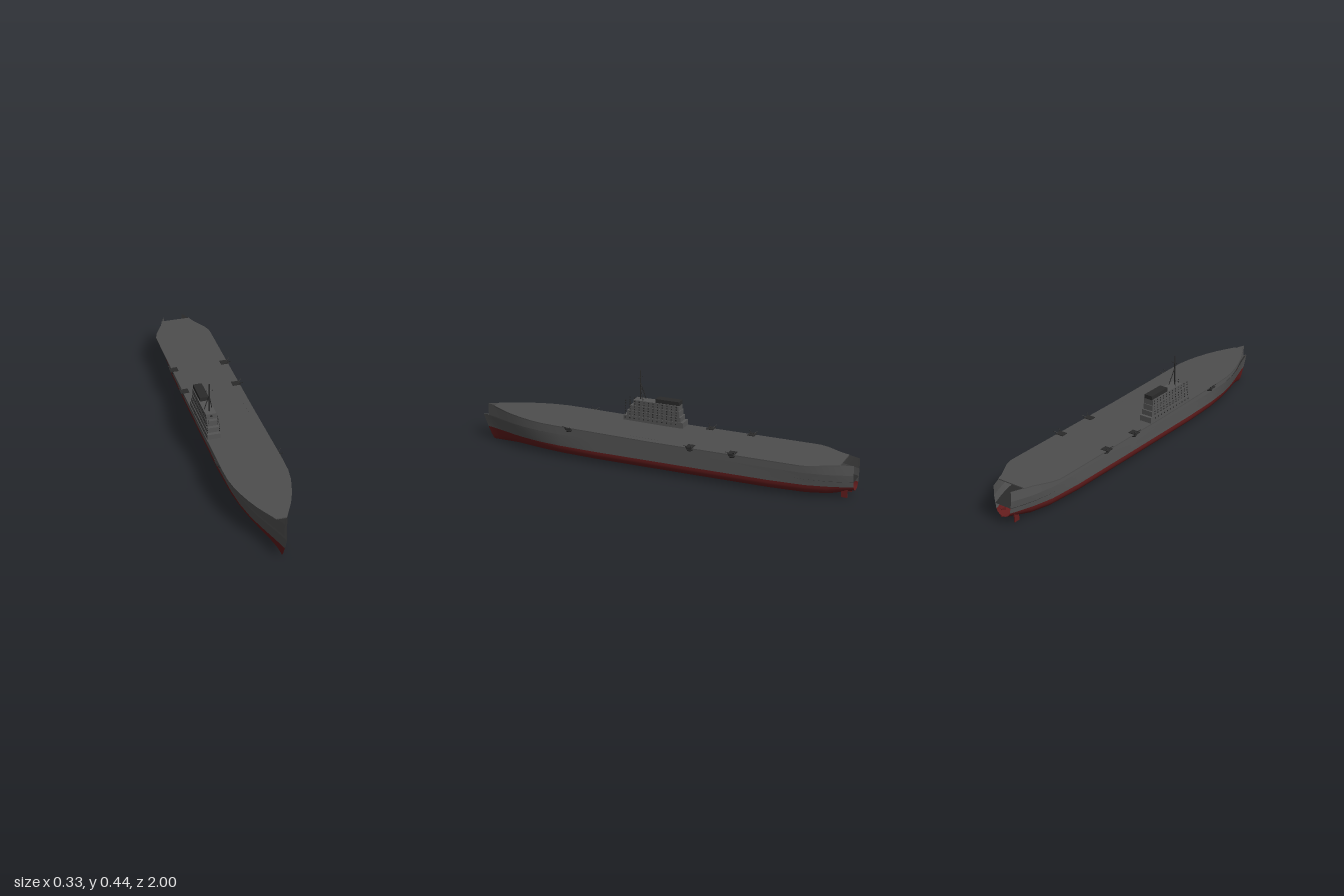
import * as THREE from 'three';
import { toCreasedNormals } from 'three/addons/utils/BufferGeometryUtils.js';

const paint = (name, color) => {
  const m = new THREE.MeshStandardMaterial({ color, side: THREE.DoubleSide });
  m.name = name;
  return m;
};

// Stations along the ship (-1 stern, 1 bow) with half-widths at the top and near the keel
const STATIONS = [-1, -0.94, -0.88, -0.78, -0.6, -0.2, 0.3, 0.5, 0.62, 0.72, 0.8, 0.88, 0.94, 1];
const TOP = [0.05, 0.074, 0.092, 0.11, 0.114, 0.114, 0.114, 0.113, 0.108, 0.092, 0.07, 0.042, 0.02, 0.001];
const LOW = [0.022, 0.04, 0.06, 0.09, 0.11, 0.114, 0.114, 0.1, 0.08, 0.06, 0.042, 0.024, 0.012, 0.001];
const WATERLINE = 0.064, STEP = 0.127;

const deckY = z => 0.178 + 0.014 * Math.max(z, 0);
const keelY = z => (z < -0.86 ? 0.036 * (-0.86 - z) / 0.14 : 0);
const alongZ = (u, bow) => (u < 0.5 ? u : 0.5 + (u - 0.5) * (bow - 0.5) / 0.5);
const bowZ = y => 0.94 + 0.06 * Math.pow(y / STEP, 0.8);

// Joins rows of points, stern to bow, into a skin
function loft(rows) {
  const n = rows[0].length, index = [];
  for (let i = 0; i < rows.length - 1; i++)
    for (let j = 0; j < n - 1; j++) {
      const a = i * n + j, b = a + 1, c = a + n, d = c + 1;
      index.push(a, c, b, b, c, d);
    }
  const g = new THREE.BufferGeometry();
  g.setAttribute('position', new THREE.Float32BufferAttribute(rows.flat(2), 3));
  g.setIndex(index);
  g.computeVertexNormals();
  return g;
}

// One hull point on the given side, at station i and height y
function hullPoint(i, side, y, fullness = 1, bow = bowZ(y)) {
  const k = Math.min(1, Math.pow(y / STEP, 0.7));
  const z = alongZ(STATIONS[i], bow);
  const half = THREE.MathUtils.lerp(LOW[i], TOP[i], k) * fullness;
  const h = y < WATERLINE ? keelY(z) + y * (WATERLINE - keelY(z)) / WATERLINE : y;
  return [side * half, h, z];
}

export function createModel() {
  const ship = new THREE.Group();
  ship.name = 'ship';
  const grey = paint('hull grey', 0x555555);
  const deckGrey = paint('deck grey', 0x4e4e4e);
  const dark = paint('dark grey', 0x2a2a2a);
  const red = paint('bottom red', 0x641d1d);

  const add = (name, geometry, material, x = 0, y = 0, z = 0, parent = ship) => {
    const mesh = new THREE.Mesh(geometry, material);
    mesh.name = name;
    mesh.position.set(x, y, z);
    parent.add(mesh);
    return mesh;
  };
  // Box given by its limits
  const block = (name, mat, x0, x1, y0, y1, z0, z1, parent) =>
    add(name, new THREE.BoxGeometry(x1 - x0, y1 - y0, z1 - z0), mat,
      (x0 + x1) / 2, (y0 + y1) / 2, (z0 + z1) / 2, parent);
  // Round bar between two points
  const bar = (name, mat, a, b, r, parent) => {
    const p = new THREE.Vector3(...a), q = new THREE.Vector3(...b), d = q.clone().sub(p);
    const m = add(name, new THREE.CylinderGeometry(r, r, d.length(), 8), mat, 0, 0, 0, parent);
    m.position.copy(p).add(q).multiplyScalar(0.5);
    m.quaternion.setFromUnitVectors(new THREE.Vector3(0, 1, 0), d.normalize());
    return m;
  };

  // Red underwater body, rounded from keel to waterline
  const bilge = [[WATERLINE, 1], [0.052, 0.995], [0.04, 0.97], [0.028, 0.91], [0.018, 0.79], [0.011, 0.6], [0.005, 0.33]];
  add('underwaterHull', loft(STATIONS.map((u, i) => [
    ...bilge.map(([y, f]) => hullPoint(i, 1, y, f)),
    hullPoint(i, 1, 0, 0),
    ...[...bilge].reverse().map(([y, f]) => hullPoint(i, -1, y, f)),
  ])), red);

  // Grey topsides, with the upper walls stopping short of the stem
  for (const side of [1, -1]) {
    const order = pts => (side > 0 ? pts : pts.reverse());
    add('lowerHullSide', loft(STATIONS.map((u, i) =>
      order([STEP, 0.106, 0.085, WATERLINE].map(y => hullPoint(i, side, y))))), grey);
    add('upperHullSide', loft(STATIONS.map((u, i) => {
      const low = hullPoint(i, side, STEP, 1, 0.97);
      return order([[low[0], deckY(low[2]) - 0.001, low[2]], low]);
    })), grey);
  }

  // Dark inner deck seen at the open stern and bow
  add('innerDeck', loft(STATIONS.map((u, i) => {
    const [x, , z] = hullPoint(i, 1, 0.115, 0.985);
    const y = 0.108 + 0.017 * z;
    return [[x, y, z], [-x, y, z]];
  })), dark);

  // Flight deck plate
  const outline = [[-0.94, 0.076], [-0.9, 0.09], [-0.86, 0.112], [-0.82, 0.134], [-0.78, 0.147], [-0.74, 0.148],
    [0, 0.148], [0.5, 0.148], [0.58, 0.145], [0.65, 0.134], [0.7, 0.121], [0.76, 0.102], [0.82, 0.078],
    [0.87, 0.052], [0.92, 0.026]];
  const ring = (z, w) => {
    const t = deckY(z), b = t - 0.005;
    return [[w, t, z], [w, b, z], [-w, b, z], [-w, t, z], [w, t, z]];
  };
  const hub = z => Array.from({ length: 5 }, () => [0, deckY(z) - 0.0025, z]);
  add('flightDeck', toCreasedNormals(
    loft([hub(-0.94), ...outline.map(([z, w]) => ring(z, w)), hub(0.92)]), 0.5), deckGrey);

  // Small brackets under the forward deck edge
  for (const side of [1, -1])
    for (let z = 0.46; z < 0.9; z += 0.03) {
      const i = STATIONS.findIndex(u => alongZ(u, 0.97) > z);
      const a = hullPoint(i - 1, side, STEP, 1, 0.97), b = hullPoint(i, side, STEP, 1, 0.97);
      const x = THREE.MathUtils.lerp(a[0], b[0], (z - a[2]) / (b[2] - a[2]));
      add('deckBracket', new THREE.BoxGeometry(0.008, 0.006, 0.006), dark, x, deckY(z) - 0.008, z);
    }

  // Gun mounts below the deck edge
  for (const side of [1, -1])
    for (const z of [-0.43, -0.215, 0.432]) {
      const gun = new THREE.Group();
      gun.name = 'gunMount';
      gun.position.set(side * 0.136, 0, z);
      ship.add(gun);
      add('gunTub', new THREE.CylinderGeometry(0.016, 0.013, 0.006, 12), dark, 0, 0.164, 0, gun);
      add('gunPedestal', new THREE.CylinderGeometry(0.009, 0.009, 0.01, 10), dark, 0, 0.171, 0, gun);
      block('gunShield', dark, -0.015, 0.015, 0.171, 0.179, -0.014, 0.014, gun);
      block('gunPlatform', dark, -0.026, 0.017, 0.179, 0.182, -0.018, 0.018, gun);
      for (const dz of [-0.007, 0.007])
        bar('gunBarrel', dark, [side * 0.01, 0.182, dz], [side * 0.027, 0.193, dz * 3], 0.0016, gun);
    }

  // Island tiers: x limits, y limits, z limits
  const island = new THREE.Group();
  island.name = 'island';
  ship.add(island);
  const tiers = [
    [-0.145, -0.08, 0.177, 0.207, -0.088, 0.235], [-0.142, -0.082, 0.207, 0.233, -0.074, 0.217],
    [-0.14, -0.084, 0.233, 0.261, -0.066, 0.2], [-0.138, -0.086, 0.261, 0.29, -0.062, 0.183],
  ];
  tiers.forEach(t => block('islandTier', grey, ...t, island));
  block('funnel', dark, -0.134, -0.09, 0.29, 0.31, -0.064, 0.064, island);
  block('frontPort', dark, -0.118, -0.107, 0.275, 0.283, 0.183, 0.186, island);

  // Rows of small ports on both sides of each tier
  tiers.forEach(([x0, x1, y0, y1], row) => {
    for (const y of row ? [y0 + 0.008, y0 + 0.021] : [y0 + 0.018])
      for (let z = -0.05; z < 0.23; z += 0.025)
        for (const x of [x0, x1])
          block('port', dark, x - 0.001, x + 0.001, y - 0.003, y + 0.003, z - 0.003, z + 0.003, island);
  });

  // Tripod mast with yard
  const mx = -0.113, mz = 0.155;
  bar('mast', dark, [mx, 0.29, mz], [mx, 0.441, mz], 0.0033, island);
  bar('yard', dark, [mx - 0.019, 0.405, mz], [mx + 0.019, 0.405, mz], 0.0014, island);
  for (const s of [-1, 1])
    bar('mastLeg', dark, [mx, 0.378, mz], [mx + s * 0.019, 0.29, mz - 0.022], 0.002, island);

  // Twin rudders
  for (const s of [-1, 1])
    block('rudder', red, s * 0.039 - 0.003, s * 0.039 + 0.003, 0.008, 0.05, -0.972, -0.942);

  return ship;
}
